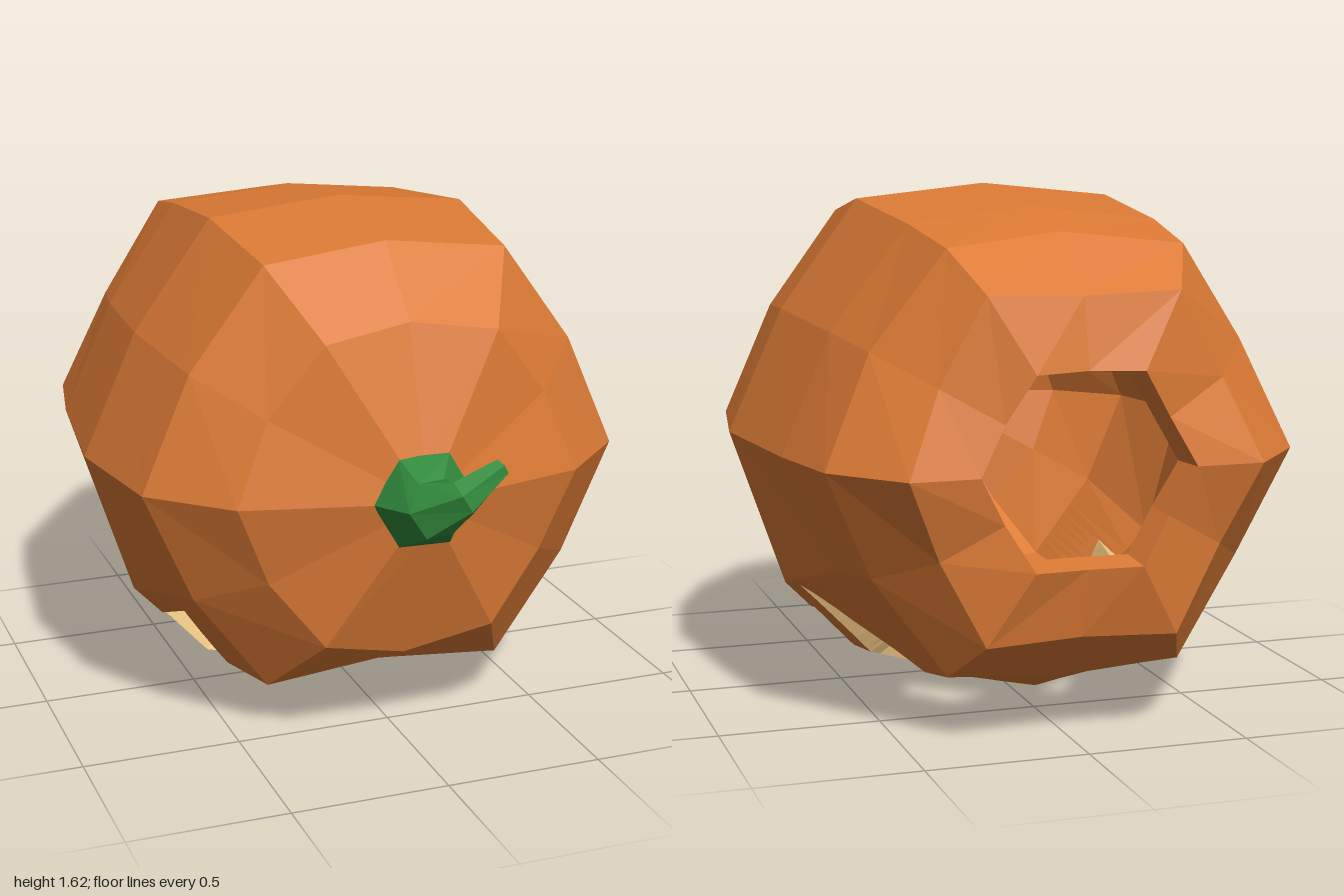
import * as THREE from 'three';

const AXIS_Y = 0.84;
// Shell rings from stem to base hole: [crease z, crease radius, mid z, mid radius]
const RINGS = [
  [0.81, 0.005, 0.81, 0.005], [0.78, 0.14, 0.773, 0.13], [0.68, 0.55, 0.65, 0.515],
  [0.46, 0.78, 0.45, 0.72], [0.03, 0.85, 0.03, 0.78], [-0.48, 0.79, -0.45, 0.73],
  [-0.78, 0.73, -0.72, 0.67], [-0.94, 0.59, -0.93, 0.5], [-1, 0.33, -0.975, 0.29],
];
const LAST = RINGS.length - 1;
// Corners pushed out around the carved face: 'column,ring' -> [z, radius, angle]
const BULGES = {
  '0,2': [0.63, 0.55, 0], '0,3': [0.37, 0.68, 0], '0,4': [0.03, 0.835, 0], '0,5': [-0.45, 0.79, 0],
  '1,4': [0.03, 0.86, 32], '2,4': [-0.03, 0.845, 54.5], '3,7': [-1, 0.54, 90],
};

// Grid corner of the ribbed shell; column 0 points straight down, 30 degrees each
function corner(col, ring, inner) {
  const n = Math.abs(col), [cz, cr, mz, mr] = RINGS[ring];
  let [z, r, deg] = BULGES[`${n},${ring}`] ?? (n % 2 ? [cz, cr, n * 30] : [mz, mr, n * 30]);
  if (inner) {
    r *= ring === LAST ? 0.95 : 0.82;
    z *= 0.89;
  }
  const a = Math.sign(col) * deg * Math.PI / 180;
  return new THREE.Vector3(r * Math.sin(a), AXIS_Y - r * Math.cos(a), z);
}

// Point on the outer or inner skin at angle a (degrees) and ring position s
function skin(a, s, inner) {
  const c = Math.min(5, Math.floor(a / 30 + 1e-6)), i = Math.min(LAST - 1, Math.floor(s + 1e-6));
  const u = a / 30 - c;
  return corner(c, i, inner).lerp(corner(c + 1, i, inner), u)
    .lerp(corner(c, i + 1, inner).lerp(corner(c + 1, i + 1, inner), u), s - i);
}

// Ring position of a given z in the carved zone
function ringAt(z) {
  const i = z > 0.03 ? 3 : z > -0.48 ? 4 : 5;
  return i + (RINGS[i][0] - z) / (RINGS[i][0] - RINGS[i + 1][0]);
}
const edge = pts => pts.map(([a, z]) => [a, ringAt(z)]);
const flip = pts => pts.map(([a, s]) => [-a, s]).reverse();
const whole = half => [...flip(half), ...half.slice(1)];

// Value of a polyline at angle a
function at(line, a) {
  for (let k = 0; k < line.length - 1; k++) {
    const [a0, s0] = line[k], [a1, s1] = line[k + 1];
    if (a <= a1 + 1e-9) return s0 + (s1 - s0) * (a - a0) / (a1 - a0);
  }
  return line[line.length - 1][1];
}

// Carved openings, each between a stem-side edge and a base-side edge
const eye = [edge([[4, 0.06], [31, 0.18], [54, 0.29]]), edge([[4, 0.06], [6, 0.03], [48, 0], [54, 0.29]])];
const mouth = [
  whole(edge([[0, -0.42], [11, -0.36], [28, -0.15], [58, -0.08]])),
  whole(edge([[0, -0.55], [10, -0.55], [22, -0.63], [30, -0.6], [36, -0.48], [44, -0.28], [58, -0.08]])),
];
const OPENINGS = [eye, eye.map(flip), mouth];
// The cuts slant inward, so the openings shift on the inner skin
const slant = ([a, s]) => [a * 0.86, s + 0.24];
const INNER_OPENINGS = OPENINGS.map(pair => pair.map(line => line.map(slant)));

// Angles at which columns of the carved zone must split
function columnAngles(openings) {
  const list = [];
  for (let a = -180; a <= 180; a += 30) list.push(a);
  for (const line of openings.flat()) {
    line.forEach(([a, s], k) => {
      list.push(a);
      if (!k) return;
      const [pa, ps] = line[k - 1];
      for (const ring of [4, 5]) {
        if ((ps - ring) * (s - ring) < 0) list.push(pa + (a - pa) * (ring - ps) / (s - ps));
      }
    });
  }
  list.sort((p, q) => p - q);
  return list.filter((a, k) => !k || a - list[k - 1] > 1e-4);
}
const holesAt = (openings, a) => openings.filter(([f]) => a > f[0][0] && a < f[f.length - 1][0]);

function quad(out, a, b, c, d) {
  for (const p of [a, b, c, a, c, d]) out.push(p.x, p.y, p.z);
}

function toMesh(positions, material, name) {
  const geo = new THREE.BufferGeometry();
  geo.setAttribute('position', new THREE.Float32BufferAttribute(positions, 3));
  geo.computeVertexNormals();
  const mesh = new THREE.Mesh(geo, material);
  mesh.name = name;
  return mesh;
}

// One skin of the shell, with the openings left out
function buildSkin(openings, inner) {
  const out = [];
  const cell = (a0, a1, f, g) => {
    const p = [skin(a0, f(a0), inner), skin(a1, f(a1), inner), skin(a1, g(a1), inner), skin(a0, g(a0), inner)];
    quad(out, ...(inner ? p : p.reverse()));
  };
  // Plain facets near the stem and the base
  for (const i of [0, 1, 2, 6, 7]) {
    for (let a = -180; a < 180; a += 30) cell(a, a + 30, () => i, () => i + 1);
  }
  // Carved zone, column by column
  const angles = columnAngles(openings);
  for (let k = 0; k < angles.length - 1; k++) {
    const mid = (angles[k] + angles[k + 1]) / 2;
    const holes = holesAt(openings, mid);
    const lines = [3, 4, 5, 6].map(i => () => i);
    for (const line of holes.flat()) lines.push(a => at(line, a));
    lines.sort((f, g) => f(mid) - g(mid));
    for (let j = 0; j < lines.length - 1; j++) {
      const m = (lines[j](mid) + lines[j + 1](mid)) / 2;
      if (holes.some(([p, q]) => m > at(p, mid) && m < at(q, mid))) continue;
      cell(angles[k], angles[k + 1], lines[j], lines[j + 1]);
    }
  }
  return out;
}

// Flesh walls of the openings, through the thickness of the shell
function buildCuts() {
  const out = [], angles = columnAngles(OPENINGS);
  for (let k = 0; k < angles.length - 1; k++) {
    const a0 = angles[k], a1 = angles[k + 1];
    for (const line of holesAt(OPENINGS, (a0 + a1) / 2).flat()) {
      const p = [a0, at(line, a0)], q = [a1, at(line, a1)];
      quad(out, skin(...p), skin(...q), skin(...slant(q), true), skin(...slant(p), true));
    }
  }
  return out;
}

// Wall of the hole in the base
function buildRim() {
  const out = [];
  for (let a = -180; a < 180; a += 30) {
    quad(out, skin(a, LAST), skin(a, LAST, true), skin(a + 30, LAST, true), skin(a + 30, LAST));
  }
  return out;
}

// Bent, tapering stem from six-sided cross-sections: [x, y, z, radius]
function buildStem(material) {
  const path = [[0, 0.84, 0.72, 0.15], [0, 0.84, 0.78, 0.16], [-0.01, 0.85, 0.89, 0.095],
    [0.05, 0.9, 0.955, 0.06], [0.18, 0.97, 0.93, 0.03]];
  const centre = path.map(p => new THREE.Vector3(p[0], p[1], p[2]));
  const loops = path.map((p, i) => {
    const dir = centre[Math.min(i + 1, path.length - 1)].clone()
      .sub(centre[Math.max(i - 1, 0)]).normalize();
    const turn = new THREE.Quaternion().setFromUnitVectors(new THREE.Vector3(0, 0, 1), dir);
    return Array.from({ length: 6 }, (_, k) => {
      const t = k * Math.PI / 3;
      return new THREE.Vector3(Math.cos(t) * p[3], Math.sin(t) * p[3], 0)
        .applyQuaternion(turn).add(centre[i]);
    });
  });
  const out = [], end = loops.length - 1;
  for (let k = 0; k < 6; k++) {
    const n = (k + 1) % 6;
    for (let i = 0; i < end; i++) quad(out, loops[i][k], loops[i][n], loops[i + 1][n], loops[i + 1][k]);
    for (const p of [centre[end], loops[end][k], loops[end][n]]) out.push(p.x, p.y, p.z);
  }
  return toMesh(out, material, 'stem');
}

export function createModel() {
  const make = (name, color, extra = {}) => {
    const m = new THREE.MeshStandardMaterial({ color, flatShading: true, ...extra });
    m.name = name;
    return m;
  };
  const rind = make('orangeRind', 0xdb7a35);
  const flesh = make('paleFlesh', 0xe6bd7c, { side: THREE.DoubleSide });
  const green = make('stemGreen', 0x30893c);
  const shell = new THREE.Group();
  shell.name = 'carvedPumpkin';
  shell.add(toMesh(buildSkin(OPENINGS, false), rind, 'outerSkin'),
    toMesh(buildSkin(INNER_OPENINGS, true), rind, 'innerSkin'),
    toMesh(buildRim(), rind, 'baseHoleRim'), toMesh(buildCuts(), flesh, 'carvedEdges'));
  const model = new THREE.Group();
  model.name = 'pumpkin';
  model.add(shell, buildStem(green));
  return model;
}
